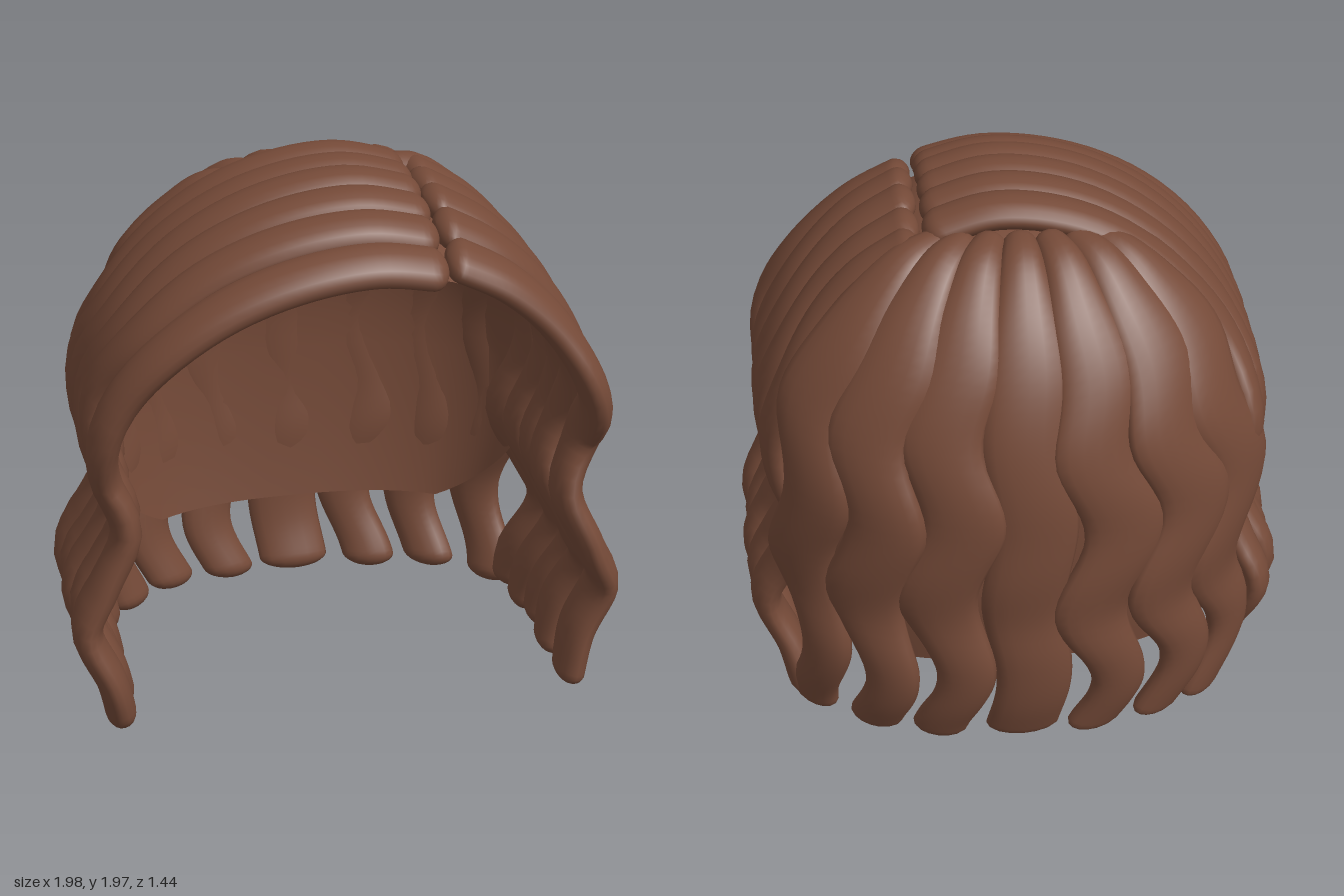
import * as THREE from 'three';

const V = (x, y, z) => new THREE.Vector3(x, y, z);
const rad = THREE.MathUtils.degToRad;
const lerp = THREE.MathUtils.lerp;
const step = THREE.MathUtils.smoothstep;

// Grid of points -> smooth geometry; closed joins the last column to the first
function gridGeometry(points, rows, cols, closed) {
  const index = [];
  const span = closed ? cols : cols - 1;
  for (let r = 0; r < rows - 1; r++) {
    for (let c = 0; c < span; c++) {
      const a = r * cols + c, b = r * cols + (c + 1) % cols;
      index.push(a, a + cols, b, b, a + cols, b + cols);
    }
  }
  const g = new THREE.BufferGeometry().setFromPoints(points);
  g.setIndex(index);
  g.computeVertexNormals();
  return g;
}

// Wavy flattened lock swept along a path; width and depth are half sizes
function lockGeometry(path, { normalAt, width, depth, amp, phase }) {
  const curve = new THREE.CatmullRomCurve3(path, false, 'centripetal');
  const n = 64, sides = 16, points = [];
  for (let i = 0; i <= n; i++) {
    const u = (1 - Math.cos(Math.PI * i / n)) / 2;
    const p = curve.getPointAt(u), t = curve.getTangentAt(u);
    const b = t.clone().cross(normalAt(p)).normalize();
    const out = b.clone().cross(t).normalize();
    const wave = amp * Math.sin(p.y * 9 + phase) * (1 - step(p.y, 1.2, 1.75));
    const end = Math.min(1, Math.min(u, 1 - u) / 0.025);
    const round = Math.sqrt(Math.max(0, 1 - (1 - end) ** 2));
    const w = width(u, p.y) * round, d = depth * round;
    p.addScaledVector(b, wave);
    for (let k = 0; k < sides; k++) {
      const a = k / sides * Math.PI * 2;
      points.push(p.clone().addScaledVector(b, Math.cos(a) * w).addScaledVector(out, Math.sin(a) * d));
    }
  }
  return gridGeometry(points, n + 1, sides, true);
}

// Height of the crown above y = 1, falling towards the forehead
const crown = z => 0.925 - 0.55 * Math.max(0, z - 0.1) ** 2;
// Depth of the rounded back plan at x, as a share of its full depth
const backPlan = x => Math.pow(1 - Math.pow(Math.min(1, Math.abs(x)), 2.5), 0.4);

function sideLock(side, i, zTop, zSide) {
  const front = i === 0;
  const angles = side < 0 ? [110, 92, 72, 52, 32, 13] : [69, 52, 32, 13];
  const k = zSide < 0 ? backPlan(zSide / 0.67) : 1;
  const wide = side < 0 ? 0.015 : 0;
  const path = angles.map((deg, j) => {
    const a = rad(deg), s = j / (angles.length - 1);
    const bulge = side < 0 ? 0.04 * Math.sin(s * Math.PI) : 0;
    const z = lerp(zTop, zSide + (front ? 0.07 : 0), s * s * (1.6 - 0.6 * s)) + bulge;
    const flat = 1 - 0.02 * Math.abs(Math.sin(2 * a));
    return V(side * lerp(0.87, 0.88 * k + wide, s) * Math.cos(a) * flat, 1 + crown(z) * Math.sin(a) * flat, z);
  });
  // Falling part: in at the jaw, out below it, in at the tip
  const fall = [[0.845, 1.0, -0.02], [0.78, 0.8, 0], [0.86, 0.6, 0.02], [0.93, 0.43, 0], [0.85, 0.22, 0], [0.81, 0.025 + 0.012 * (i % 3), 0]];
  fall.forEach(([x, y, dz]) => path.push(V(side * (x * k + wide - 0.012 * (i % 2)), y, zSide + dz)));
  const base = side < 0 ? 0.095 : 0.108;
  return lockGeometry(path, {
    normalAt: p => V(p.x / 0.76, Math.max(0, p.y - 1) / 0.85, Math.max(0, p.z - 0.1) * Math.max(0, p.y - 1)
      + (p.z < -0.1 ? p.z * 0.6 : 0)),
    width: (u, y) => base + (front ? 0.015 : 0.005) * (1 - step(y, 0.2, 0.9)) - 0.02 * (1 - step(y, 0, 0.2)),
    depth: 0.055,
    amp: front ? 0.02 : 0.042, phase: side * 0.1 * i + i * 0.35 + 2.4,
  });
}

function backLock(x, i) {
  const z = -0.67 * backPlan(x / 0.88);
  const path = [82, 69, 55, 40, 25, 10].map((deg, j) => {
    const c = Math.cos(rad(deg));
    const px = x * lerp(0.2, 1, c) - 0.03 * (1 - c), pz = lerp(-0.04, z, c);
    const r = Math.pow(Math.pow(Math.abs(px) / 0.88, 2.5) + Math.pow(-pz / 0.67, 2.5), 0.4);
    return V(px, 1 + 0.92 * Math.sqrt(Math.max(0, 1 - r * r)) - (j === 0 ? 0.05 : 0), pz);
  });
  const fall = [[1, 1, 0.95], [0.99, 1, 0.8], [0.97, 0.97, 0.6], [0.99, 0.98, 0.42], [0.98, 0.95, 0.22], [0.94, 0.86, 0.015 + 0.01 * (i % 2)]];
  fall.forEach(([fx, fz, y]) => path.push(V(x * fx, y, z * fz)));
  const middle = i === 3;
  return lockGeometry(path, {
    normalAt: p => V(p.x / 0.76, Math.max(0, p.y - 1) / 0.85, p.z / 0.44),
    width: (u, y) => lerp(0.05, 0.15, step(u, -0.05, 0.3)) * (1 - (middle ? 0.1 : 0.32) * (1 - step(y, 0.25, 0.75))),
    depth: 0.055,
    amp: middle ? 0.02 : 0.055, phase: 1.2 + (x < 0 ? 0.5 : 0) + (i % 3) * 0.3,
  });
}

// Inner cap point: v 0..1 runs crown to temple, 1..2 temple to the rising hem
function capPoint(x, z, z0, v, top) {
  const a = Math.max(0, 1 - v) * Math.PI / 2, c = Math.cos(a), t = Math.max(0, v - 1);
  const hem = 0.35 + Math.min(0.4, Math.max(0, z + 0.5));
  const f = c * (1 - 0.08 * t * t);
  return V(x * f, v < 1 ? 1 + top * Math.sin(a) : lerp(1, hem, t), z0 + (z - z0) * f);
}

function capBack() {
  const rows = 41, cols = 33, points = [];
  for (let r = 0; r < rows; r++) {
    const phi = r / (rows - 1) * Math.PI;
    const cx = Math.sign(Math.cos(phi)) * Math.pow(Math.abs(Math.cos(phi)), 0.8);
    const cz = Math.pow(Math.max(0, Math.sin(phi)), 0.8);
    for (let c = 0; c < cols; c++) points.push(capPoint(0.83 * cx, -0.02 - 0.6 * cz, -0.02, c / (cols - 1) * 2, 0.865));
  }
  return gridGeometry(points, rows, cols, false);
}

function capFront() {
  const rows = 16, cols = 65, points = [];
  for (let r = 0; r < rows; r++) {
    for (let c = 0; c < cols; c++) {
      const q = c / (cols - 1) * 4 - 2, v = Math.abs(q);
      // The open edge reaches further forward over the forehead
      const reach = 0.42 + 0.2 * Math.sin(Math.max(0, 1 - v) * Math.PI / 2);
      const z = -0.02 + r / (rows - 1) * reach;
      points.push(capPoint(0.83 * Math.sign(q), z, z, v, crown(z) - 0.06));
    }
  }
  return gridGeometry(points, rows, cols, false);
}

export function createModel() {
  const hair = new THREE.MeshStandardMaterial({ color: 0x754a38, side: THREE.DoubleSide });
  hair.name = 'brown hair';
  const group = new THREE.Group();
  group.name = 'wavyHair';
  const add = (geometry, name) => {
    const mesh = new THREE.Mesh(geometry, hair);
    mesh.name = name;
    group.add(mesh);
  };

  add(capBack(), 'innerCapBack');
  add(capFront(), 'innerCapFront');

  // Side locks start at the off-centre parting: [z at the parting, z at the side]
  const left = [[0.53, 0.46], [0.37, 0.27], [0.19, 0.1], [0.02, -0.07], [-0.12, -0.24]];
  const right = [[0.6, 0.46], [0.46, 0.32], [0.33, 0.18], [0.19, 0.03], [0.06, -0.11], [-0.07, -0.25]];
  left.forEach(([top, z], i) => add(sideLock(1, i, top, z), 'leftLock' + (i + 1)));
  right.forEach(([top, z], i) => add(sideLock(-1, i, top, z), 'rightLock' + (i + 1)));

  // Back locks fan out from the crown
  [-0.75, -0.56, -0.3, -0.02, 0.26, 0.52, 0.74].forEach((x, i) => add(backLock(x, i), 'backLock' + (i + 1)));
  return group;
}
